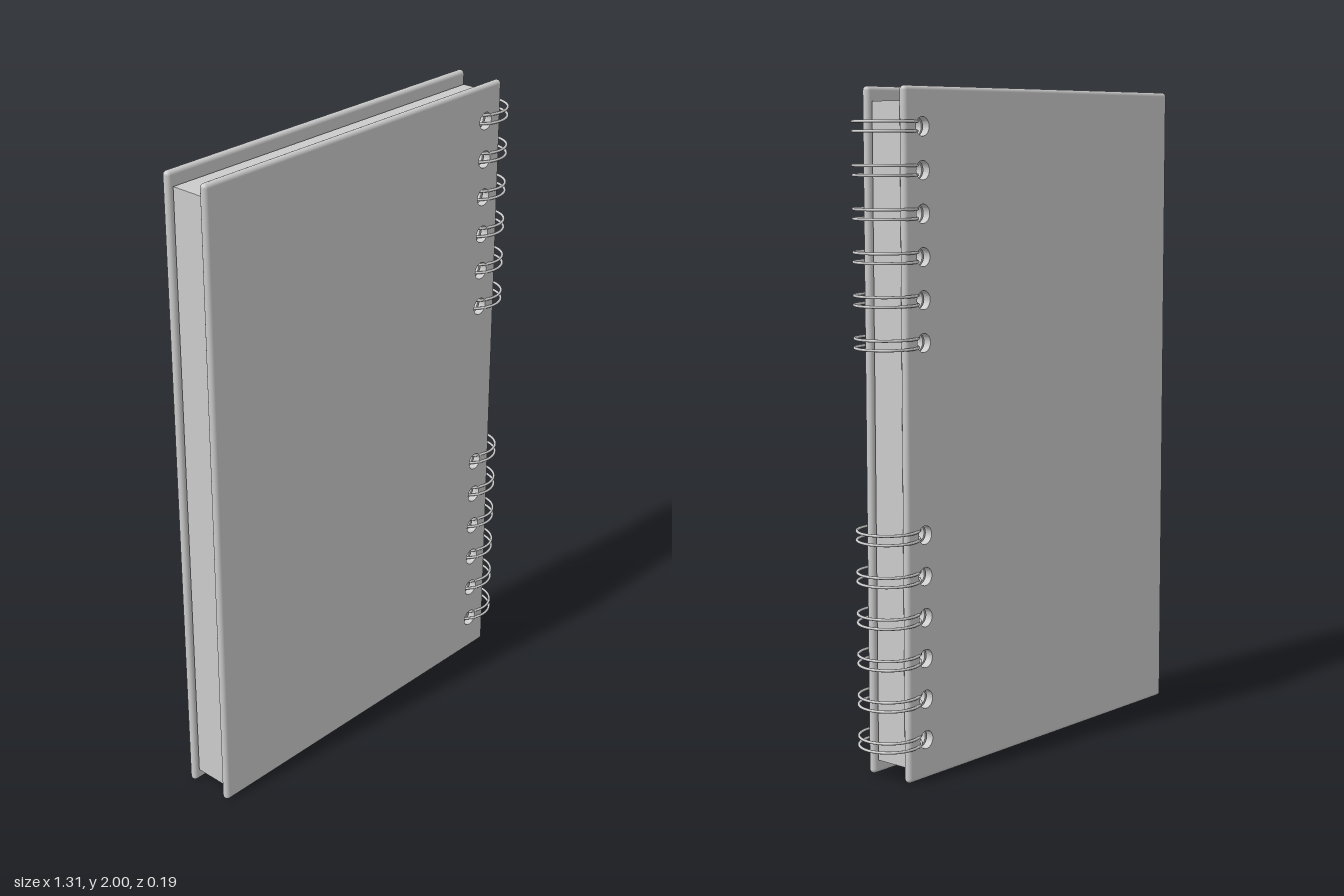
import * as THREE from 'three';

const LEFT = -0.657, RIGHT = 0.57, HEIGHT = 2;
const EDGE = 0.0125;             // half thickness of a cover, also its edge radius
const HOLE_X = 0.497, HOLE_R = 0.027;

// Two runs of six binding positions
const bindingY = [];
for (const start of [0.118, 1.28]) {
  for (let i = 0; i < 6; i++) bindingY.push(start + i * 0.1215);
}

const material = new THREE.MeshStandardMaterial({ color: 0xcccccc });

function add(parent, name, geometry, x = 0, y = 0, z = 0) {
  const mesh = new THREE.Mesh(geometry, material);
  mesh.name = name;
  mesh.position.set(x, y, z);
  parent.add(mesh);
  return mesh;
}

// Rectangular slab punched with the binding holes, centred on z = 0
function punchedSlab(x0, x1, y0, y1, depth) {
  const shape = new THREE.Shape();
  shape.moveTo(x0, y0).lineTo(x1, y0).lineTo(x1, y1).lineTo(x0, y1).closePath();
  for (const y of bindingY) {
    shape.holes.push(new THREE.Path().absarc(HOLE_X, y, HOLE_R, 0, Math.PI * 2, true));
  }
  return new THREE.ExtrudeGeometry(shape, { depth, bevelEnabled: false, curveSegments: 16 })
    .translate(0, 0, -depth / 2);
}

// Cover board with half-round edges and rounded corners
function makeCover(name, z) {
  const cover = new THREE.Group();
  cover.name = name;
  cover.position.z = z;
  const x0 = LEFT + EDGE, x1 = RIGHT - EDGE, y0 = EDGE, y1 = HEIGHT - EDGE;
  add(cover, 'coverBoard', punchedSlab(x0, x1, y0, y1, EDGE * 2));
  const upright = new THREE.CylinderGeometry(EDGE, EDGE, y1 - y0, 16, 1, true);
  const level = new THREE.CylinderGeometry(EDGE, EDGE, x1 - x0, 16, 1, true).rotateZ(Math.PI / 2);
  const corner = new THREE.SphereGeometry(EDGE, 16, 12);
  for (const x of [x0, x1]) {
    add(cover, 'sideEdge', upright, x, HEIGHT / 2, 0);
    for (const y of [y0, y1]) add(cover, 'corner', corner, x, y, 0);
  }
  for (const y of [y0, y1]) add(cover, 'endEdge', level, (x0 + x1) / 2, y, 0);
  return cover;
}

export function createModel() {
  const notebook = new THREE.Group();
  notebook.name = 'notebook';

  notebook.add(makeCover('frontCover', 0.0715), makeCover('backCover', -0.0715));

  // Block of pages, slightly smaller than the covers
  add(notebook, 'pages', punchedSlab(-0.643, 0.557, 0.042, 1.958, 0.107));

  // Twin wire rings through each hole
  const ring = new THREE.TorusGeometry(0.0905, 0.0042, 10, 48).rotateX(Math.PI / 2);
  for (const y of bindingY) {
    const pair = new THREE.Group();
    pair.name = 'bindingRings';
    pair.position.set(0.562, y, 0);
    for (const side of [-1, 1]) add(pair, 'wireRing', ring, 0, side * 0.0135, 0);
    notebook.add(pair);
  }
  return notebook;
}
